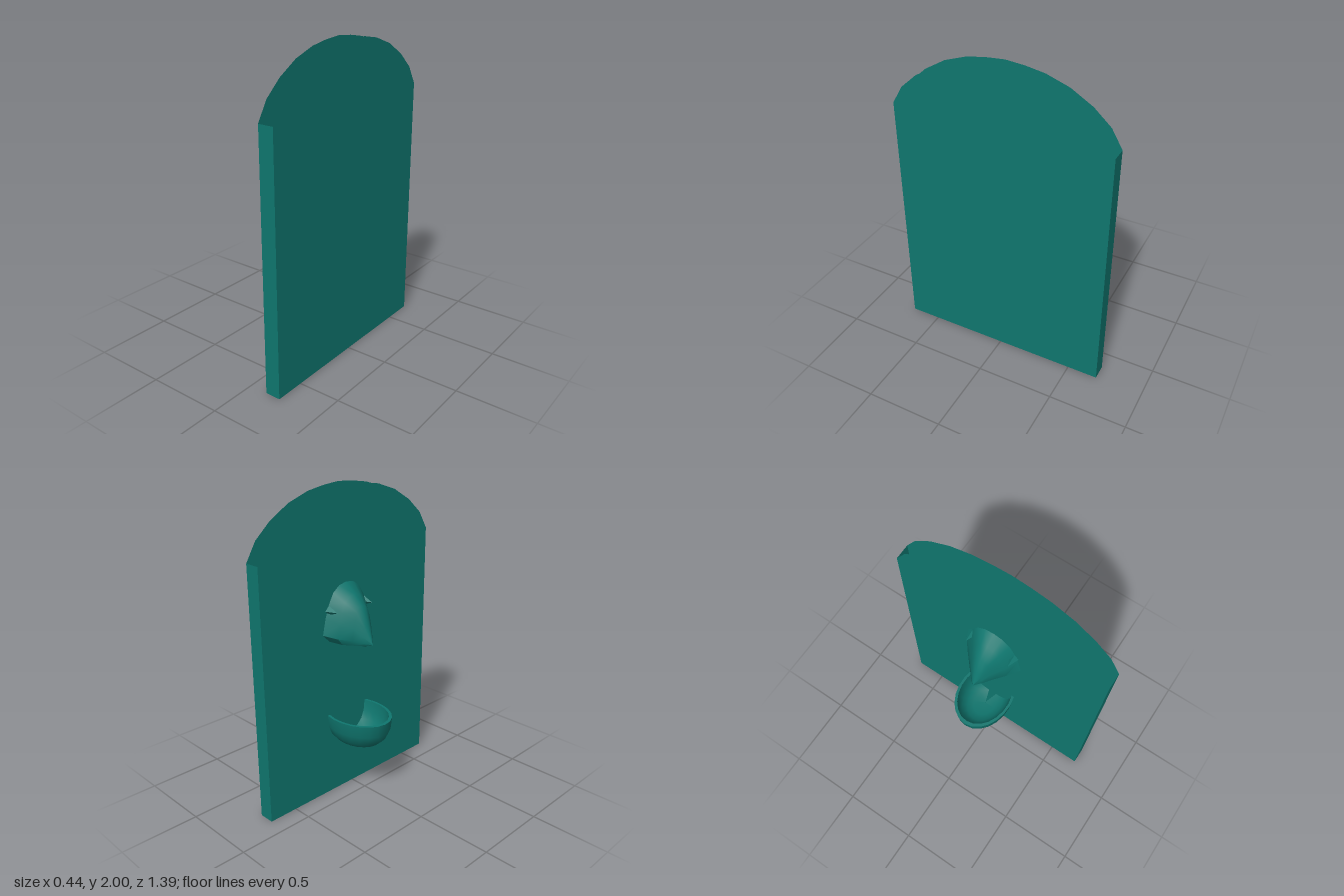
import * as THREE from 'three';
import { toCreasedNormals } from 'three/addons/utils/BufferGeometryUtils.js';

const teal = new THREE.MeshStandardMaterial({ color: 0x0f766e, side: THREE.DoubleSide });
teal.name = 'teal';

const FACE = 0.122, BACK = 0.222; // the two faces of the slab along x
const MID = -0.036;               // centre of the carved parts along z

function add(group, name, geometry) {
  const mesh = new THREE.Mesh(geometry, teal);
  mesh.name = name;
  group.add(mesh);
  return mesh;
}

// Skin a list of cross-sections that have equal point counts
function loft(rings, crease) {
  const n = rings[0].length, index = [];
  for (let i = 0; i < rings.length - 1; i++) {
    for (let j = 0; j < n - 1; j++) {
      const a = i * n + j, b = a + n;
      index.push(a, a + 1, b, b, a + 1, b + 1);
    }
  }
  const g = new THREE.BufferGeometry();
  g.setAttribute('position', new THREE.Float32BufferAttribute(rings.flat(2), 3));
  g.setIndex(index);
  return toCreasedNormals(g, crease);
}

// Hollow slab: two arched faces and two straight sides, open above and below
function makeSlab() {
  const slab = new THREE.Group();
  slab.name = 'slab';
  const arch = [[0.696, 1.63], [0.627, 1.745], [0.52, 1.84], [0.385, 1.92], [0.24, 1.97], [0.12, 1.99]];
  const outline = [[0.696, 0], ...arch, [0, 2],
    ...arch.map(([z, y]) => [-z, y]).reverse(), [-0.696, 0]];
  const shape = new THREE.Shape(outline.map(([z, y]) => new THREE.Vector2(z, y)));
  for (const [name, x, turn] of [['carvedFace', FACE, -1], ['plainFace', BACK, 1]]) {
    const g = new THREE.ShapeGeometry(shape);
    g.rotateY(turn * Math.PI / 2);
    add(slab, name, g).position.x = x;
  }
  for (const s of [1, -1]) {
    const g = new THREE.PlaneGeometry(BACK - FACE, 1.63);
    if (s < 0) g.rotateY(Math.PI);
    add(slab, s > 0 ? 'frontSide' : 'rearSide', g).position.set((FACE + BACK) / 2, 0.815, s * 0.696);
  }
  return slab;
}

// Oval bowl cut off where it meets the slab: outer skin, rim, inner skin
function makeBowl() {
  const profile = [
    [0.02, 0.36], [0.45, 0.365], [0.66, 0.38], [0.84, 0.42], [0.96, 0.48], [1, 0.56],
    [0.91, 0.56], [0.87, 0.49], [0.76, 0.435], [0.6, 0.4], [0.4, 0.385], [0.02, 0.38]];
  const rings = profile.map(([s, y]) => {
    const reach = Math.acos(Math.max(-1, (0.03 - FACE) / (0.25 * s)));
    const ring = [];
    for (let i = 0; i <= 14; i++) {
      const t = reach * (i / 7 - 1);
      ring.push([0.03 - 0.25 * s * Math.cos(t), y, MID + 0.187 * s * Math.sin(t)]);
    }
    return ring;
  });
  return loft(rings, 0.8);
}

// Pointed beak, swept from its tip back to the slab
function makeBeak() {
  // x, bottom, top, half width
  const stations = [
    [-0.103, 1.055, 1.065, 0.003], [-0.06, 1.038, 1.18, 0.045], [-0.015, 1.03, 1.29, 0.085],
    [0.05, 1.025, 1.348, 0.142], [FACE, 1.035, 1.412, 0.2]];
  // width and height fractions from ridge to underside; the lip is the widest point
  const half = [[0, 1], [0.3, 0.97], [0.55, 0.87], [0.73, 0.7], [0.88, 0.48], [1, 0.2], [0.74, 0.06], [0, 0]];
  const section = [...half, ...half.slice(0, -1).reverse().map(([w, v]) => [-w, v])];
  return loft(stations.map(([x, lo, hi, width]) =>
    section.map(([w, v]) => [x, lo + (hi - lo) * v, MID + width * w])), 0.75);
}

export function createModel() {
  const model = new THREE.Group();
  model.name = 'archedPanel';
  model.add(makeSlab());
  add(model, 'bowl', makeBowl());
  add(model, 'beak', makeBeak());

  // Small wedge-shaped eyes on the sides of the beak
  for (const s of [1, -1]) {
    const g = new THREE.ConeGeometry(0.03, 0.075, 4, 1, true);
    g.rotateZ(Math.PI / 2);
    add(model, s > 0 ? 'frontEye' : 'rearEye', toCreasedNormals(g, 0.4))
      .position.set(0.084, 1.26, MID + s * 0.148);
  }
  return model;
}
